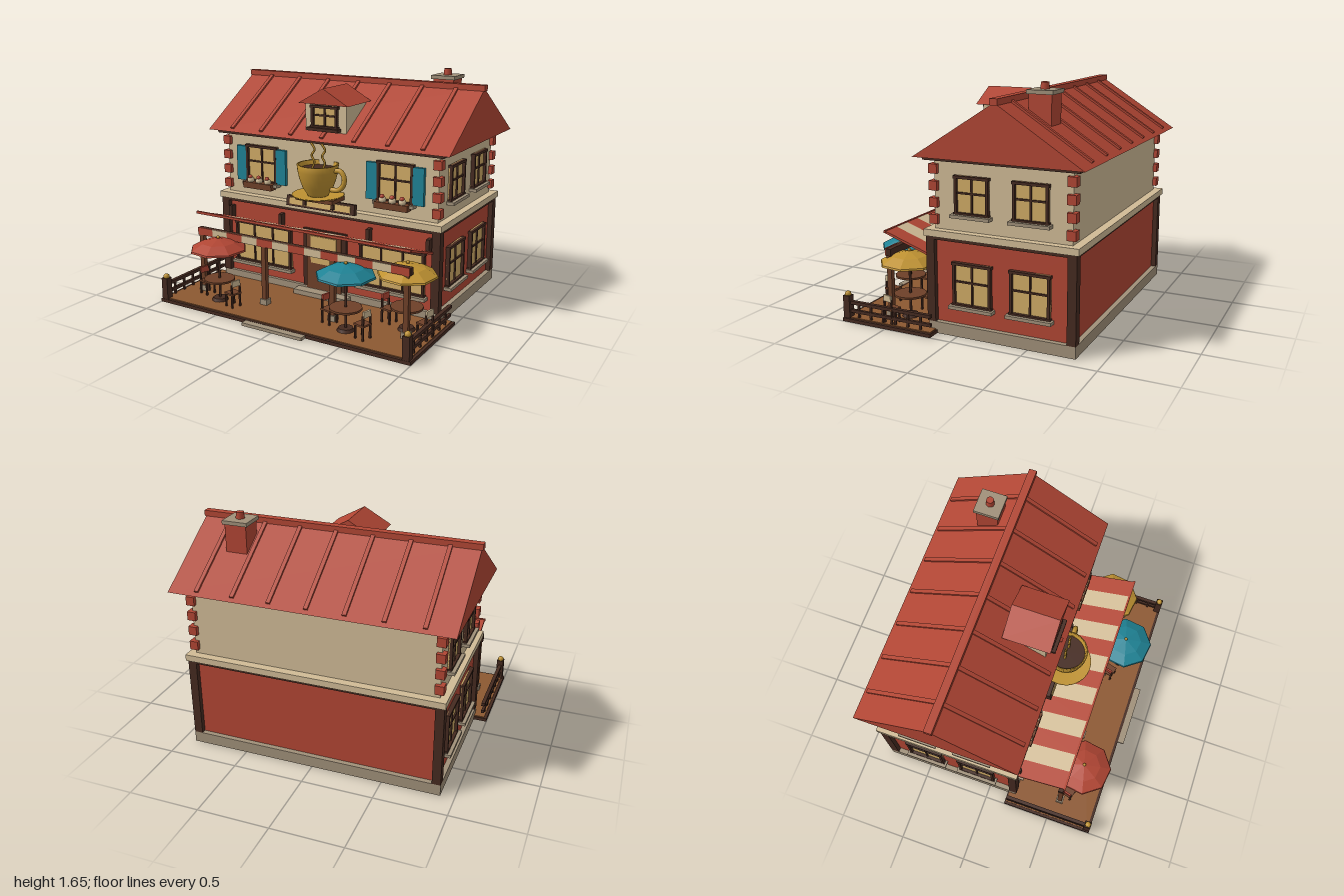
import * as THREE from 'three';

const mat = (name, color, extra = {}) => Object.assign(new THREE.MeshStandardMaterial({ color, ...extra }), { name });
const M = {
  red: mat('brick red', 0xb14634),
  cream: mat('cream plaster', 0xd0bb96),
  dark: mat('dark timber', 0x452a20),
  deck: mat('deck brown', 0x8c5831),
  wood: mat('mid brown wood', 0x6e4028),
  teal: mat('teal paint', 0x1f8294),
  gold: mat('gold', 0xbf9232, { side: THREE.DoubleSide }),
  glass: mat('warm window glass', 0xd0ab66),
  stone: mat('grey stone', 0xa09079),
};

function add(parent, name, geo, material, x = 0, y = 0, z = 0) {
  const m = new THREE.Mesh(geo, material);
  m.name = name;
  m.position.set(x, y, z);
  parent.add(m);
  return m;
}
// box given by its extents
const span = (p, name, material, x0, x1, y0, y1, z0, z1) =>
  add(p, name, new THREE.BoxGeometry(x1 - x0, y1 - y0, z1 - z0), material, (x0 + x1) / 2, (y0 + y1) / 2, (z0 + z1) / 2);
const group = (p, name, x = 0, y = 0, z = 0, ry = 0) => {
  const g = new THREE.Group();
  g.name = name;
  g.position.set(x, y, z);
  g.rotation.y = ry;
  p.add(g);
  return g;
};
// triangular prism along z
function prism(half, height, depth) {
  const s = new THREE.Shape([[-half, 0], [half, 0], [0, height]].map(p => new THREE.Vector2(...p)));
  return new THREE.ExtrudeGeometry(s, { depth, bevelEnabled: false }).translate(0, 0, -depth / 2);
}

// framed window facing +z, origin at the centre of the pane
function windowUnit(p, x, y, z, ry, w, h, cols = 2, sill = M.stone) {
  const g = group(p, 'window', x, y, z, ry);
  const t = 0.018, a = w / 2, b = h / 2;
  span(g, 'glass', M.glass, -a, a, -b, b, 0, 0.009);
  for (const s of [-1, 1]) {
    add(g, 'sideFrame', new THREE.BoxGeometry(t, h, 0.03), M.dark, s * (a - t / 2), 0, 0.014);
    add(g, 'crossFrame', new THREE.BoxGeometry(w + 0.012, t, 0.034), M.dark, 0, s * (b - t / 2), 0.014);
  }
  for (let i = 1; i < cols; i++) add(g, 'mullion', new THREE.BoxGeometry(0.012, h, 0.018), M.dark, -a + (w * i) / cols, 0, 0.01);
  add(g, 'crossBar', new THREE.BoxGeometry(w, 0.012, 0.018), M.dark, 0, h * 0.06, 0.01);
  add(g, 'sill', new THREE.BoxGeometry(w + 0.04, 0.022, 0.06), sill, 0, -b - 0.005, 0.025);
  return g;
}

function buildHouse(root) {
  const g = group(root, 'house');
  span(g, 'foundation', M.stone, -0.905, 0.905, 0, 0.08, -0.825, 0.21);
  span(g, 'groundFloorWalls', M.red, -0.87, 0.87, 0.08, 0.65, -0.79, 0.185);
  span(g, 'timberBelt', M.dark, -0.905, 0.905, 0.64, 0.66, -0.825, 0.22);
  span(g, 'cornice', M.cream, -0.915, 0.915, 0.66, 0.705, -0.84, 0.232);
  span(g, 'upperWalls', M.cream, -0.862, 0.862, 0.705, 1.16, -0.782, 0.172);
  span(g, 'eavesBoard', M.dark, -0.915, 0.915, 1.158, 1.182, -0.84, 0.23);
  for (const x of [-0.875, 0.875]) for (const z of [-0.795, 0.19]) {
    add(g, 'cornerPost', new THREE.BoxGeometry(0.06, 0.57, 0.06), M.dark, x, 0.365, z);
    for (let i = 0; i < 4; i++)
      add(g, 'quoin', new THREE.BoxGeometry(0.06, 0.062, 0.06), M.red, x * 0.983, 0.77 + i * 0.11, z > 0 ? 0.17 : -0.78);
  }
  // side windows
  for (const s of [-1, 1]) for (const z of [-0.103, -0.51]) {
    windowUnit(g, s * 0.87, 0.355, z, s * Math.PI / 2, 0.275, 0.295);
    windowUnit(g, s * 0.862, 0.942, z, s * Math.PI / 2, 0.24, 0.255);
  }
  // front windows with shutters and flower boxes
  for (const s of [-1, 1]) {
    windowUnit(g, s * 0.54, 0.33, 0.186, 0, 0.5, 0.32, 3);
    const w = windowUnit(g, s * 0.55, 0.945, 0.172, 0, 0.27, 0.28);
    for (const k of [-1, 1]) add(w, 'shutter', new THREE.BoxGeometry(0.085, 0.26, 0.025), M.teal, k * 0.175, -0.005, 0.016);
    add(w, 'flowerBox', new THREE.BoxGeometry(0.25, 0.045, 0.06), M.wood, 0, -0.153, 0.055);
    for (const x of [-0.075, 0, 0.075]) {
      add(w, 'blossom', new THREE.IcosahedronGeometry(0.027, 1), M.cream, x, -0.118, 0.055);
      add(w, 'redBlossom', new THREE.IcosahedronGeometry(0.017, 1), M.red, x, -0.094, 0.06);
    }
  }
  // door
  const d = group(g, 'door', 0, 0, 0.186);
  span(d, 'doorFrame', M.dark, -0.18, 0.18, 0.08, 0.52, 0, 0.02);
  span(d, 'doorLeaf', M.wood, -0.145, 0.145, 0.07, 0.5, 0, 0.03);
  span(d, 'doorGlass', M.glass, -0.107, 0.107, 0.27, 0.475, 0.03, 0.036);
  span(d, 'doorHandle', M.gold, 0.058, 0.072, 0.23, 0.27, 0.03, 0.05);
  span(d, 'doorStep', M.stone, -0.22, 0.22, 0.03, 0.065, 0, 0.1);
  for (const x of [-0.82, -0.365, 0.365, 0.82]) span(g, 'wallBracket', M.dark, x - 0.013, x + 0.013, 0.51, 0.6, 0.18, 0.235);
}

function buildRoof(root) {
  const g = group(root, 'roof');
  add(g, 'mainRoof', prism(0.58, 0.368, 1.94).rotateY(Math.PI / 2), M.red, 0, 1.182, -0.31);
  span(g, 'ridgeCap', M.red, -0.98, 0.98, 1.535, 1.575, -0.337, -0.283);
  const tilt = Math.atan2(0.368, 0.58);
  for (const s of [-1, 1]) for (let i = -3; i <= 3; i++) {
    const rib = add(g, 'roofSeam', new THREE.BoxGeometry(0.028, 0.02, 0.63), M.red, i * 0.257, 1.372, -0.31 + s * 0.287);
    rib.rotation.x = s * tilt;
  }
  // dormer
  const d = group(g, 'dormer');
  span(d, 'dormerWalls', M.cream, -0.165, 0.165, 1.22, 1.437, -0.1, 0.18);
  add(d, 'dormerRoof', prism(0.2, 0.112, 0.335), M.red, 0, 1.434, 0.053);
  windowUnit(d, 0, 1.345, 0.18, 0, 0.21, 0.16, 2, M.dark);
  // chimney
  const c = group(g, 'chimney', 0.62, 0, -0.488);
  span(c, 'chimneyStack', M.red, -0.077, 0.077, 1.25, 1.585, -0.077, 0.077);
  span(c, 'chimneyCap', M.stone, -0.09, 0.09, 1.582, 1.608, -0.09, 0.09);
  add(c, 'chimneyPot', new THREE.CylinderGeometry(0.026, 0.03, 0.045, 12), M.red, 0, 1.63, 0);
}

function buildAwning(root) {
  const g = group(root, 'awning');
  const w = 1.71 / 13;
  for (let i = 0; i < 13; i++) {
    const x = (i - 6) * w, m = i % 2 ? M.cream : M.red;
    add(g, 'awningStripe', new THREE.BoxGeometry(w, 0.016, 0.375), m, x, 0.567, 0.395).rotation.x = -0.326;
    span(g, 'valanceStripe', m, x - w / 2, x + w / 2, 0.46, 0.515, 0.568, 0.576);
  }
  span(g, 'awningEdge', M.red, -0.86, 0.86, 0.62, 0.638, 0.565, 0.58);
  span(g, 'awningBeam', M.dark, -0.86, 0.86, 0.462, 0.512, 0.53, 0.566);
  for (const x of [-0.83, -0.28, 0.28, 0.83]) {
    span(g, 'awningPost', M.wood, x - 0.018, x + 0.018, 0.03, 0.47, 0.535, 0.57);
    span(g, 'postBase', M.stone, x - 0.028, x + 0.028, 0.001, 0.07, 0.525, 0.58);
  }
}

function buildCupSign(root) {
  // sign board
  const b = group(root, 'signBoard', 0, 0.728, 0.25);
  b.rotation.x = -0.15;
  add(b, 'board', new THREE.BoxGeometry(0.56, 0.075, 0.035), M.dark);
  add(b, 'signPanel', new THREE.BoxGeometry(0.5, 0.046, 0.008), M.glass, 0, 0, 0.019);
  for (const x of [-0.115, 0.115]) add(b, 'signLamp', new THREE.BoxGeometry(0.02, 0.035, 0.03), M.dark, x, 0, 0.03);
  // cup and saucer
  const g = group(root, 'cup', 0, 0, 0.287);
  span(g, 'cupShelf', M.wood, -0.15, 0.15, 0.768, 0.795, -0.11, 0.06);
  const lathe = pts => new THREE.LatheGeometry(pts.map(p => new THREE.Vector2(...p)), 32);
  add(g, 'saucer', lathe([[0, 0.79], [0.1, 0.793], [0.185, 0.812], [0.182, 0.82], [0.1, 0.808], [0, 0.806]]), M.gold);
  add(g, 'cupBody', lathe([[0, 0.808], [0.075, 0.808], [0.08, 0.825], [0.108, 0.868], [0.13, 0.93], [0.142, 0.985],
    [0.147, 1.032], [0.132, 1.032], [0.125, 0.985], [0.1, 0.9]]), M.gold);
  add(g, 'coffee', new THREE.CylinderGeometry(0.127, 0.12, 0.01, 32), M.dark, 0, 0.995, 0);
  const handle = new THREE.CatmullRomCurve3([[0.125, 0.995], [0.18, 1.0], [0.21, 0.96], [0.205, 0.905], [0.165, 0.865], [0.105, 0.86]]
    .map(p => new THREE.Vector3(p[0], p[1], 0)));
  add(g, 'cupHandle', new THREE.TubeGeometry(handle, 20, 0.018, 10), M.gold);
  for (const x of [-0.04, 0.045]) {
    const pts = [-0.005, 0.012, -0.01, 0.014, -0.014].map((o, i) => new THREE.Vector3(x + o, 1.0 + i * 0.044, 0));
    add(g, 'steam', new THREE.TubeGeometry(new THREE.CatmullRomCurve3(pts), 20, 0.008, 6), M.gold);
  }
}

function buildTerrace(root) {
  const g = group(root, 'terrace');
  span(g, 'deckBase', M.dark, -1, 1, 0, 0.024, 0.15, 0.842);
  span(g, 'deckFloor', M.deck, -0.98, 0.98, 0.02, 0.03, 0.16, 0.822);
  span(g, 'frontStep', M.stone, -0.24, 0.24, 0, 0.022, 0.84, 0.89);
  // side railings
  for (const x of [-0.965, 0.965]) {
    span(g, 'railPost', M.dark, x - 0.025, x + 0.025, 0.01, 0.182, 0.79, 0.84);
    add(g, 'postBall', new THREE.SphereGeometry(0.022, 12, 8), M.gold, x, 0.19, 0.815);
    span(g, 'topRail', M.dark, x - 0.013, x + 0.013, 0.122, 0.145, 0.16, 0.8);
    span(g, 'lowerRail', M.dark, x - 0.01, x + 0.01, 0.062, 0.084, 0.16, 0.8);
    for (let i = 0; i < 6; i++) add(g, 'baluster', new THREE.BoxGeometry(0.014, 0.1, 0.014), M.dark, x, 0.075, 0.24 + i * 0.098);
  }
}

function buildChair(p, x, z, ry, cushion) {
  const g = group(p, 'chair', x, 0, z, ry);
  span(g, 'seat', M.wood, -0.042, 0.042, 0.122, 0.135, -0.042, 0.042);
  for (const a of [-0.034, 0.034]) for (const b of [-0.034, 0.034])
    span(g, 'chairLeg', M.dark, a - 0.006, a + 0.006, 0.03, a > 0 ? 0.2 : 0.125, b - 0.006, b + 0.006);
  span(g, 'chairBack', cushion, 0.028, 0.042, 0.185, 0.228, -0.034, 0.034);
}

function buildParasolTable(root, x, z, material) {
  const g = group(root, 'parasolTable', x, 0, z);
  add(g, 'tableFoot', new THREE.CylinderGeometry(0.05, 0.06, 0.02, 12), M.dark, 0, 0.04, 0);
  add(g, 'pole', new THREE.CylinderGeometry(0.009, 0.009, 0.45, 8), M.dark, 0, 0.26, 0);
  add(g, 'tableTop', new THREE.CylinderGeometry(0.11, 0.11, 0.014, 16), M.wood, 0, 0.188, 0);
  const profile = [[0.205, 0.41], [0.2, 0.422], [0.12, 0.466], [0, 0.494]].map(p => new THREE.Vector2(...p));
  const under = [[0, 0.47], [0.205, 0.41]].map(p => new THREE.Vector2(...p));
  const canopy = new THREE.LatheGeometry([...under, ...profile.slice(1)], 8).toNonIndexed();
  canopy.computeVertexNormals();
  const c = add(g, 'parasolCanopy', canopy, material);
  c.rotation.y = 0.25;
  add(g, 'parasolFinial', new THREE.SphereGeometry(0.012, 10, 8), M.gold, 0, 0.5, 0);
  buildChair(g, 0.155, 0.05, -0.25, M.cream);
  buildChair(g, -0.155, -0.05, Math.PI - 0.25, M.red);
}

export function createModel() {
  const root = new THREE.Group();
  root.name = 'cafe';
  buildHouse(root);
  buildRoof(root);
  buildAwning(root);
  buildCupSign(root);
  buildTerrace(root);
  // canopies share a double sided finish so the undersides show
  M.red.side = M.teal.side = THREE.DoubleSide;
  buildParasolTable(root, -0.61, 0.65, M.red);
  buildParasolTable(root, 0.435, 0.65, M.teal);
  buildParasolTable(root, 0.775, 0.435, M.gold);
  return root;
}
